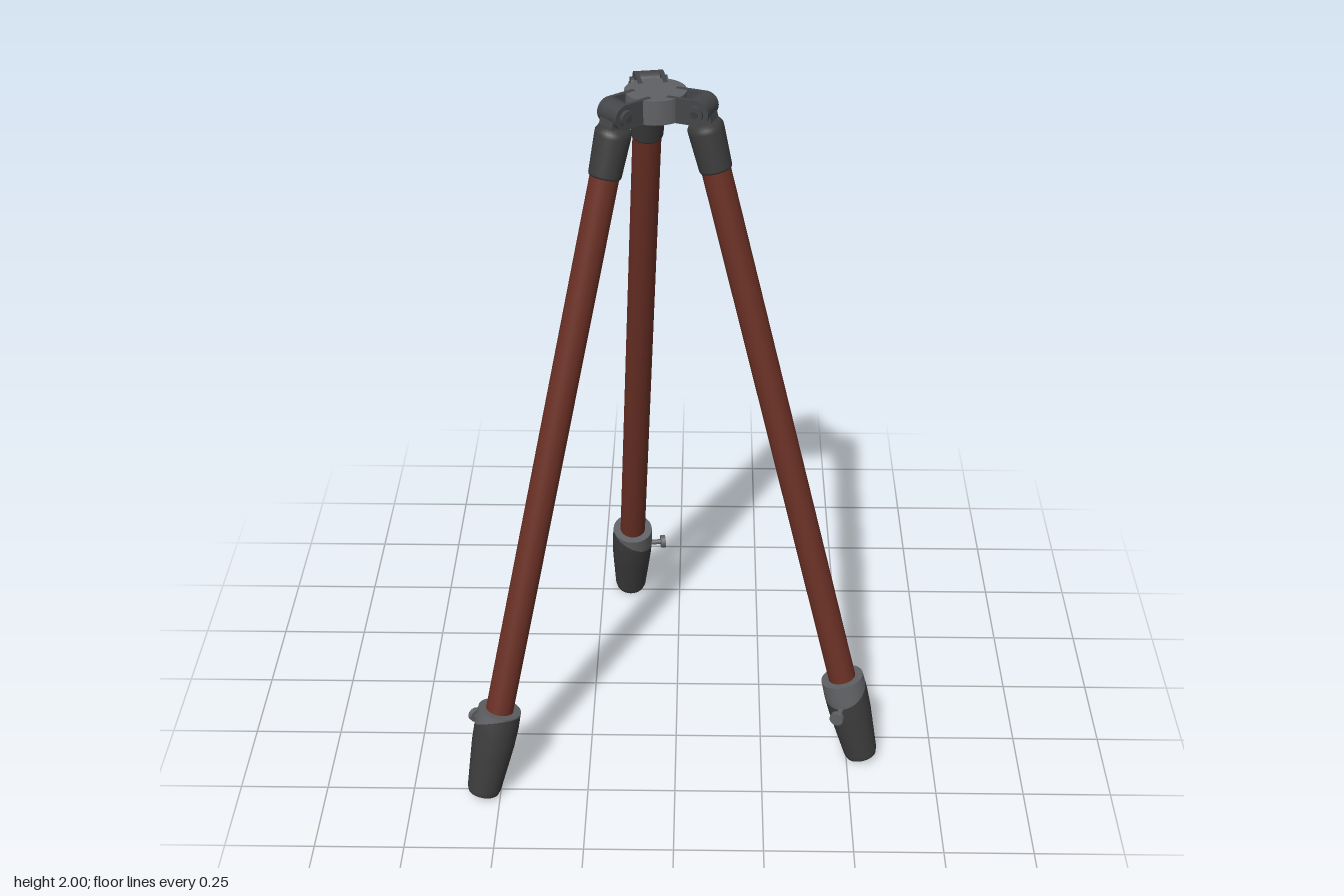
import * as THREE from 'three';
import { ParametricGeometry } from 'three/addons/geometries/ParametricGeometry.js';

const material = (name, color) => {
  const m = new THREE.MeshStandardMaterial({ color });
  m.name = name;
  return m;
};

export function createModel() {
  const wood = material('red wood', 0x6a3025);
  const dark = material('dark rubber', 0x3c3c3c);
  const metal = material('grey metal', 0x606164);
  const hinge = material('hinge metal', 0x444548);

  const add = (parent, name, geometry, mat, x = 0, y = 0, z = 0) => {
    const mesh = new THREE.Mesh(geometry, mat);
    mesh.name = name;
    mesh.position.set(x, y, z);
    parent.add(mesh);
    return mesh;
  };
  const cylinder = (r, h, n = 24) => new THREE.CylinderGeometry(r, r, h, n);
  // Profile of [radius, height], listed from bottom to top
  const lathe = (pts) => new THREE.LatheGeometry(pts.map((p) => new THREE.Vector2(...p)), 32);

  const model = new THREE.Group();
  model.name = 'tripod';
  const TOP = 1.966, PIVOT = 0.125, TILT = 0.2575;

  // Central hub disc
  const hub = new THREE.Group();
  hub.name = 'head';
  hub.position.set(-0.055, 0, 0.112);
  model.add(hub);
  add(hub, 'hubDisc', cylinder(0.081, 0.066, 40), metal, 0, TOP, 0);

  // Hinge cheek: a bar with a rounded outer end
  const cheekShape = new THREE.Shape();
  cheekShape.moveTo(-0.08, -0.034);
  cheekShape.lineTo(0, -0.034);
  cheekShape.absarc(0, 0, 0.034, -Math.PI / 2, Math.PI / 2, false);
  cheekShape.lineTo(-0.08, 0.034);
  const cheekGeo = new THREE.ExtrudeGeometry(cheekShape, { depth: 0.012, bevelEnabled: false, curveSegments: 12 });
  cheekGeo.translate(0, 0, -0.006);

  // Foot radius by distance down the leg
  const stations = [[1.75, 0.061], [1.8, 0.063], [1.86, 0.061], [1.94, 0.054], [2.008, 0.048], [2.019, 0.044]];
  const footRadius = (s) => {
    for (let i = 1; i < stations.length; i++) {
      const [a, ra] = stations[i - 1], [b, rb] = stations[i];
      if (s <= b) return ra + (rb - ra) * (s - a) / (b - a);
    }
    return 0.044;
  };
  // Slanted joint between collar and foot, lowest on the knob side
  const joint = (t) => 1.754 + 0.034 * (1 + Math.sin(t));
  const shell = (from, to, rows) => new ParametricGeometry((u, v, p) => {
    const t = u * Math.PI * 2, s = THREE.MathUtils.lerp(from(t), to(t), v), r = footRadius(s);
    p.set(r * Math.cos(t), -s, r * Math.sin(t));
  }, 36, rows);
  const collarGeo = shell(() => 1.75, joint, 3);
  const footGeo = shell(joint, () => 2.019, 16);
  const soleGeo = new THREE.CircleGeometry(0.044, 32).rotateX(Math.PI / 2);
  const rimGeo = new THREE.RingGeometry(0.036, 0.061, 36).rotateX(-Math.PI / 2);
  const sleeveGeo = lathe([[0.036, -0.168], [0.042, -0.168], [0.044, -0.162], [0.048, -0.06], [0.048, -0.048], [0.041, -0.036], [0, -0.032]]);

  for (let i = 0; i < 3; i++) {
    // Each arm points outward along its own x, with z along the hinge pin
    const arm = new THREE.Group();
    arm.name = 'arm' + (i + 1);
    arm.rotation.y = -THREE.MathUtils.degToRad(20.5 + 120 * i);
    hub.add(arm);

    for (const side of [-1, 1]) {
      add(arm, 'hingeCheek', cheekGeo, hinge, PIVOT, TOP, side * 0.033);
      add(arm, 'hingeBolt', cylinder(0.021, 0.01), hinge, PIVOT, TOP, side * 0.044).rotation.x = Math.PI / 2;
      add(arm, 'boltCentre', cylinder(0.01, 0.004, 6), dark, PIVOT, TOP, side * 0.05).rotation.x = Math.PI / 2;
    }

    const leg = new THREE.Group();
    leg.name = 'leg' + (i + 1);
    leg.position.set(PIVOT, TOP, 0);
    leg.rotation.z = TILT;
    arm.add(leg);

    // Knuckle, neck, sleeve and wooden pole
    add(leg, 'knuckle', cylinder(0.034, 0.053), hinge).rotation.x = Math.PI / 2;
    add(leg, 'neck', new THREE.BoxGeometry(0.06, 0.05, 0.053), hinge, 0, -0.025, 0);
    add(leg, 'sleeve', sleeveGeo, dark);
    add(leg, 'pole', cylinder(0.039, 1.63, 32), wood, 0, -0.965, 0);

    // Foot with clamp collar
    add(leg, 'collar', collarGeo, metal);
    add(leg, 'collarRim', rimGeo, metal, 0, -1.75, 0);
    add(leg, 'foot', footGeo, dark);
    add(leg, 'sole', soleGeo, dark, 0, -2.019, 0);

    // Clamp knob
    add(leg, 'knobStem', cylinder(0.008, 0.05, 12), metal, 0, -1.825, 0.075).rotation.x = Math.PI / 2;
    add(leg, 'knobHead', cylinder(0.02, 0.014, 16), metal, 0, -1.825, 0.1).rotation.x = Math.PI / 2;
  }
  return model;
}
